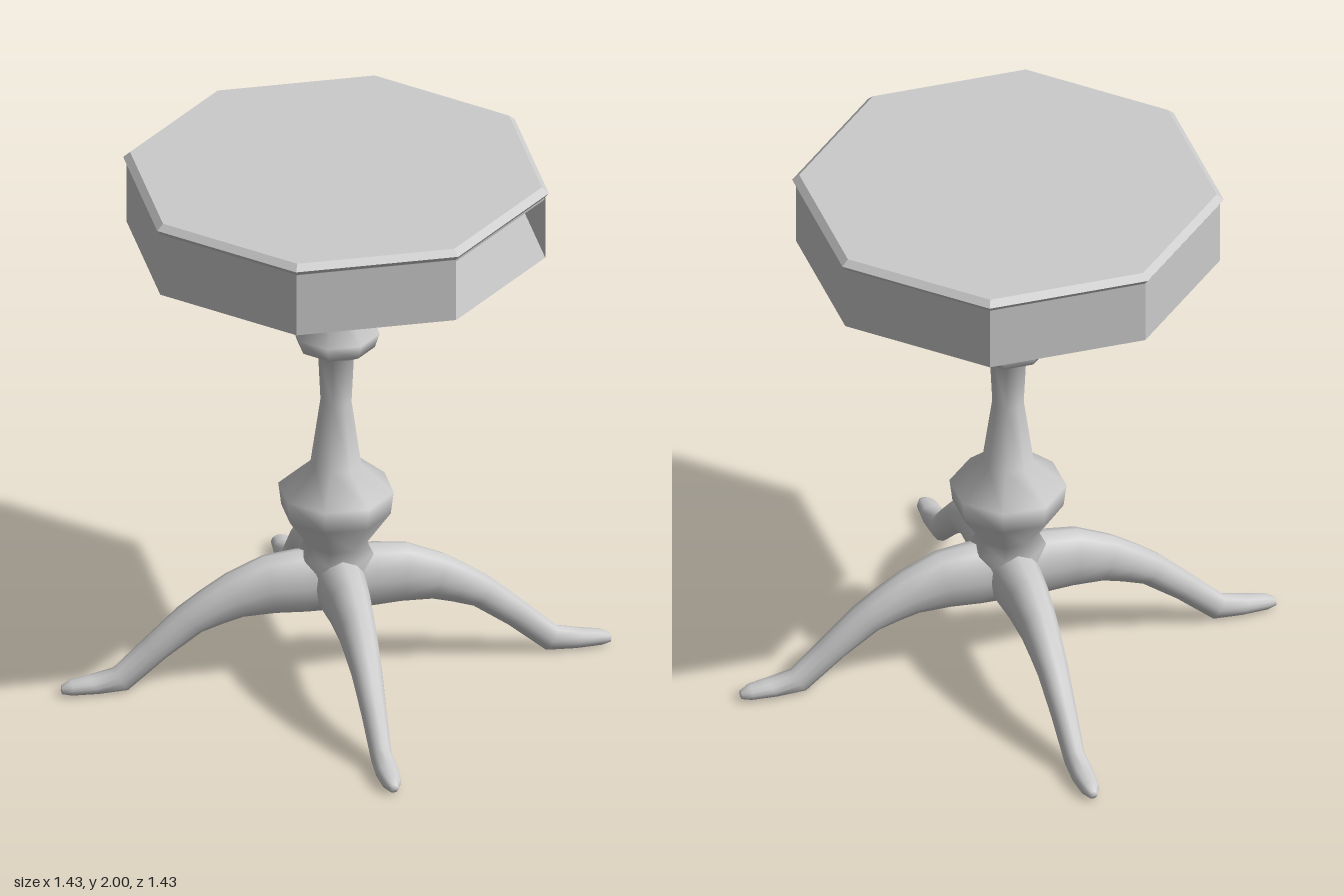
import * as THREE from 'three';

const EIGHTH = Math.PI / 8;
const grey = (opts = {}) => new THREE.MeshStandardMaterial({ color: 0xcccccc, ...opts });

function addMesh(parent, name, geometry, material) {
  const mesh = new THREE.Mesh(geometry, material);
  mesh.name = name;
  parent.add(mesh);
  return mesh;
}

// Octagonal turning with flats facing the axes; profile is [half width, y] from bottom to top
function octagonLathe(profile) {
  const pts = profile.map(([w, y]) => new THREE.Vector2(w / Math.cos(EIGHTH), y));
  return new THREE.LatheGeometry(pts, 8, EIGHTH);
}

// Curved leg along +x, skinned over oval rings set between an upper and a lower outline
function legGeometry() {
  const s = Math.SQRT2, sides = 12;
  // [top x, top y, bottom x, bottom y, half width], x as seen at 45 degrees
  const stations = [
    [0, 0.49, 0, 0.255, 0.09],
    [0.1, 0.492, 0.08, 0.255, 0.088],
    [0.185, 0.48, 0.16, 0.26, 0.078],
    [0.28, 0.422, 0.24, 0.258, 0.068],
    [0.345, 0.365, 0.29, 0.24, 0.062],
    [0.405, 0.305, 0.345, 0.215, 0.056],
    [0.495, 0.19, 0.435, 0.125, 0.046],
    [0.57, 0.092, 0.535, 0.006, 0.038],
    [0.635, 0.07, 0.61, 0.004, 0.042],
    [0.68, 0.06, 0.68, 0.006, 0.034],
    [0.704, 0.042, 0.704, 0.012, 0.017],
  ];
  const pos = [], index = [];
  for (const [tx, ty, bx, by, w] of stations) {
    for (let i = 0; i < sides; i++) {
      const a = (i / sides) * Math.PI * 2;
      const c = Math.cos(a), n = Math.sin(a);
      const k = 0.5 + 0.5 * c;
      pos.push(s * (bx + (tx - bx) * k), by + (ty - by) * k, w * Math.sign(n) * Math.abs(n) ** 0.85);
    }
  }
  for (let r = 0; r < stations.length - 1; r++) {
    for (let i = 0; i < sides; i++) {
      const a = r * sides + i, b = r * sides + ((i + 1) % sides);
      index.push(a, b, a + sides, b, b + sides, a + sides);
    }
  }
  // Blunt toe cap
  const last = (stations.length - 1) * sides;
  const [tx, ty, , by] = stations[stations.length - 1];
  pos.push(s * tx + 0.004, (ty + by) / 2, 0);
  for (let i = 0; i < sides; i++) {
    index.push(last + i, last + ((i + 1) % sides), last + sides);
  }
  const geo = new THREE.BufferGeometry();
  geo.setAttribute('position', new THREE.Float32BufferAttribute(pos, 3));
  geo.setIndex(index);
  geo.computeVertexNormals();
  return geo;
}

export function createModel() {
  const table = new THREE.Group();
  table.name = 'pedestalTable';
  const flat = grey({ flatShading: true, side: THREE.DoubleSide });
  const smooth = grey({ side: THREE.DoubleSide });

  // Octagonal top with bevelled rim
  addMesh(table, 'tableTop', octagonLathe([
    [0, 1.95], [0.695, 1.95], [0.697, 1.96], [0.711, 1.978], [0.688, 2], [0, 2],
  ]), flat);

  // Seven apron panels; the +x side is an open compartment
  const radius = 0.699 / Math.cos(EIGHTH);
  const apron = new THREE.CylinderGeometry(radius, radius, 0.24, 7, 1, true, 5 * EIGHTH, 14 * EIGHTH);
  apron.translate(0, 1.84, 0);
  addMesh(table, 'apron', apron, flat);

  // Compartment floor
  const floor = new THREE.CircleGeometry(radius, 8, EIGHTH);
  floor.rotateX(Math.PI / 2);
  floor.translate(0, 1.72, 0);
  addMesh(table, 'compartmentFloor', floor, flat);

  // Turned column
  addMesh(table, 'column', octagonLathe([
    [0.1, 0.3], [0.125, 0.48], [0.102, 0.52], [0.183, 0.645], [0.193, 0.73], [0.085, 0.83],
    [0.052, 1.08], [0.06, 1.262], [0.13, 1.305], [0.146, 1.36], [0.067, 1.465],
    [0.1, 1.6], [0.18, 1.66], [0.352, 1.72],
  ]), smooth);

  // Four splayed legs on the diagonals
  const leg = legGeometry();
  for (let i = 0; i < 4; i++) {
    const mesh = addMesh(table, 'leg', leg, smooth);
    mesh.rotation.y = Math.PI / 4 + (i * Math.PI) / 2;
  }
  return table;
}
